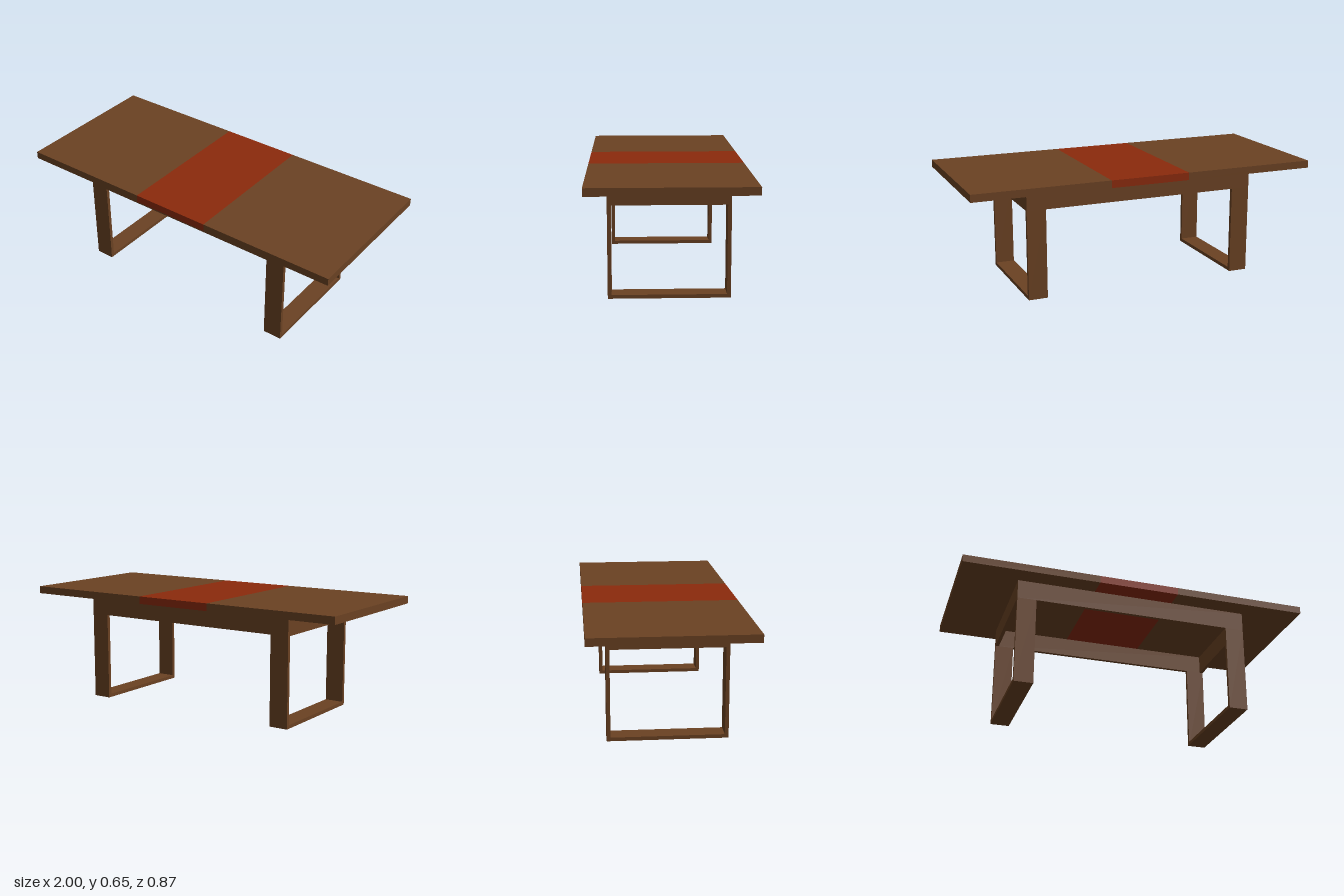
import * as THREE from 'three';

export function createModel() {
  const wood = new THREE.MeshStandardMaterial({ color: 0x6b4223 });
  wood.name = 'brown wood';
  const red = new THREE.MeshStandardMaterial({ color: 0x8b2a0c });
  red.name = 'red wood';

  const table = new THREE.Group();
  table.name = 'table';

  // Box given by its minimum and maximum corners
  const box = (name, material, [x0, y0, z0], [x1, y1, z1]) => {
    const mesh = new THREE.Mesh(new THREE.BoxGeometry(x1 - x0, y1 - y0, z1 - z0), material);
    mesh.position.set((x0 + x1) / 2, (y0 + y1) / 2, (z0 + z1) / 2);
    mesh.name = name;
    table.add(mesh);
  };

  const top = 0.652, under = 0.61, railBottom = 0.501;
  const depth = 0.435, leaf = 0.23;
  const frameX = 0.672, frameZ = 0.325, board = 0.02, legWidth = 0.108;
  const inX = frameX - legWidth, inZ = frameZ - board;

  // Tabletop: two wooden halves with a red leaf between them
  box('leftTop', wood, [leaf, under, -depth], [1, top, depth]);
  box('rightTop', wood, [-1, under, -depth], [-leaf, top, depth]);
  box('centreLeaf', red, [-leaf, under, -depth], [leaf, top, depth]);

  // Long rails along the front and back
  box('frontRail', wood, [-frameX, railBottom, inZ], [frameX, under, frameZ]);
  box('backRail', wood, [-frameX, railBottom, -frameZ], [frameX, under, -inZ]);

  for (const [side, s] of [['left', 1], ['right', -1]]) {
    // x range of a part, mirrored to this side
    const span = (a, b) => (s > 0 ? [a, b] : [-b, -a]);
    const [e0, e1] = span(frameX - board, frameX);
    const [l0, l1] = span(inX, frameX);

    // End rail, two flat legs and the foot board joining them
    box(side + 'EndRail', wood, [e0, railBottom, -inZ], [e1, under, inZ]);
    box(side + 'FrontLeg', wood, [l0, 0, inZ], [l1, railBottom, frameZ]);
    box(side + 'BackLeg', wood, [l0, 0, -frameZ], [l1, railBottom, -inZ]);
    box(side + 'Foot', wood, [l0, 0, -inZ], [l1, board, inZ]);
  }
  return table;
}
